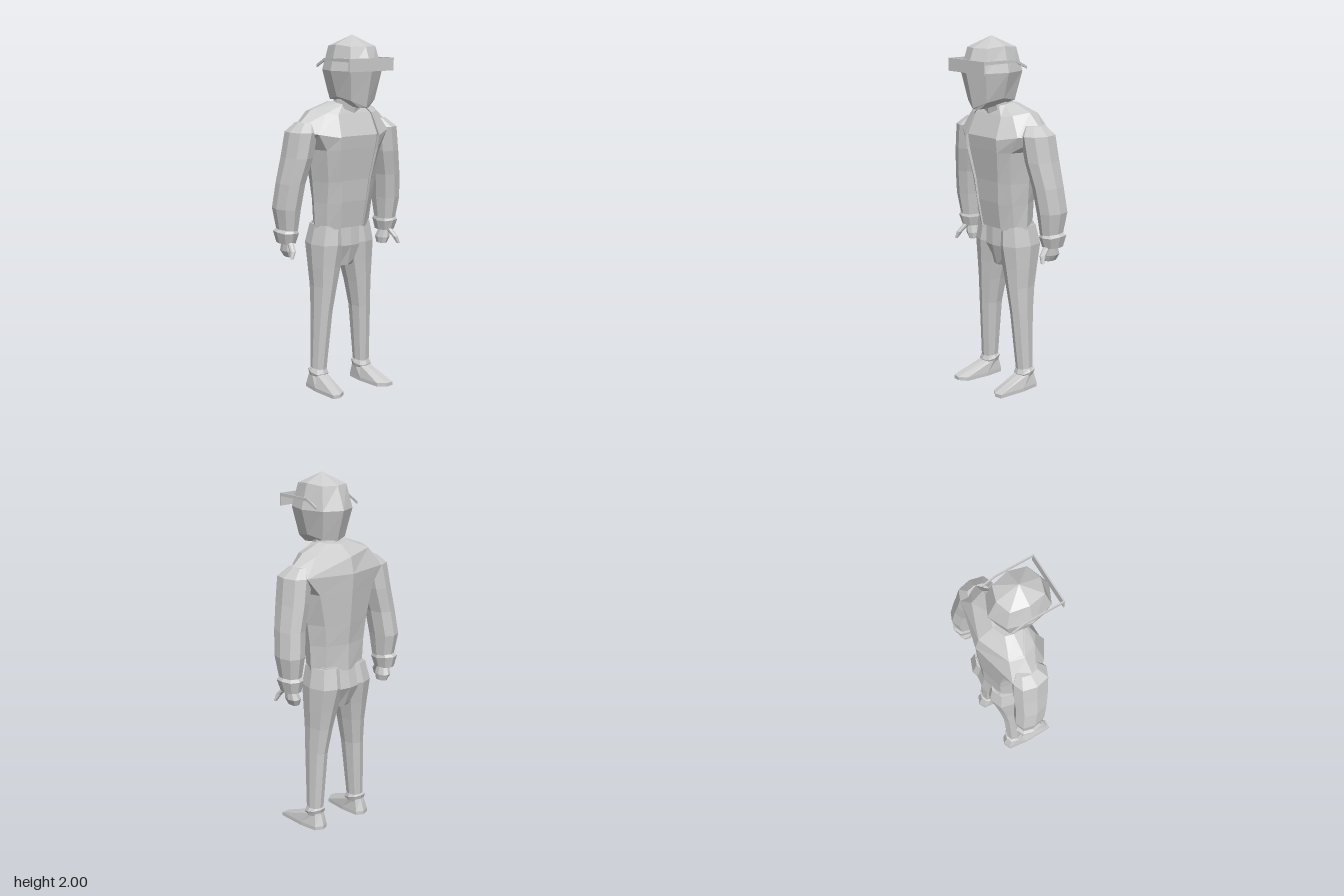
import * as THREE from 'three';

const mat = new THREE.MeshStandardMaterial({ color: 0xcccccc, flatShading: true });
const shellMat = new THREE.MeshStandardMaterial({ color: 0xcccccc, flatShading: true, side: THREE.DoubleSide });

// Octagonal cross-section at height y (number, or one height per corner)
function ring(y, x0, x1, z0, z1, f = 0.76) {
  const cx = (x0 + x1) / 2, cz = (z0 + z1) / 2, rx = (x1 - x0) / 2, rz = (z1 - z0) / 2;
  const dirs = [[1, 0], [f, f], [0, 1], [-f, f], [-1, 0], [-f, -f], [0, -1], [f, -f]];
  return dirs.map(([a, b], k) => [cx + a * rx, Array.isArray(y) ? y[k] : y, cz + b * rz]);
}

// Skin a list of rings, ordered bottom to top
function loft(name, rings, closed = true) {
  const v = [], n = rings[0].length;
  const tri = (a, b, c) => v.push(...a, ...b, ...c);
  for (let i = 0; i + 1 < rings.length; i++) {
    for (let k = 0; k < (closed ? n : n - 1); k++) {
      const j = (k + 1) % n, lo = rings[i], hi = rings[i + 1];
      tri(lo[k], hi[k], lo[j]);
      tri(lo[j], hi[k], hi[j]);
    }
  }
  if (closed) {
    [rings[0], rings[rings.length - 1]].forEach((r, top) => {
      const c = [0, 1, 2].map(a => r.reduce((s, p) => s + p[a], 0) / n);
      r.forEach((p, k) => (top ? tri(c, r[(k + 1) % n], p) : tri(c, p, r[(k + 1) % n])));
    });
  }
  const g = new THREE.BufferGeometry();
  g.setAttribute('position', new THREE.Float32BufferAttribute(v, 3));
  g.computeVertexNormals();
  const m = new THREE.Mesh(g, closed ? mat : shellMat);
  m.name = name;
  return m;
}

const mirror = rings => rings.map(r => r.map(([x, y, z]) => [x, y, -z]).reverse());

function box(name, x0, x1, y0, y1, z0, z1) {
  const m = new THREE.Mesh(new THREE.BoxGeometry(x1 - x0, y1 - y0, z1 - z0), mat);
  m.position.set((x0 + x1) / 2, (y0 + y1) / 2, (z0 + z1) / 2);
  m.name = name;
  return m;
}

export function createModel() {
  const group = new THREE.Group();
  const pair = (name, rings) => {
    group.add(loft('left' + name, mirror(rings)), loft('right' + name, rings));
  };

  // Head, with the chin dropping towards the face
  group.add(loft('head', [
    ring([1.61, 1.61, 1.615, 1.64, 1.64, 1.64, 1.615, 1.61], 0.03, 0.165, -0.04, 0.04),
    ring([1.615, 1.65, 1.67, 1.65, 1.64, 1.65, 1.67, 1.65], -0.09, 0.17, -0.105, 0.105),
    ring(1.81, -0.14, 0.217, -0.145, 0.145, 0.73),
    ring([1.94, 1.94, 1.95, 1.94, 1.94, 1.94, 1.95, 1.94], -0.09, 0.165, -0.108, 0.108, 0.79),
    ring(2.0, 0.038, 0.042, -0.002, 0.002),
  ]));
  group.add(loft('neck', [ring(1.52, -0.11, 0.05, -0.09, 0.09), ring(1.68, -0.06, 0.08, -0.07, 0.07)]));

  // Glasses: flat plate and two temples that bend down behind the ears
  group.add(box('glassesPlate', 0.209, 0.217, 1.81, 1.88, -0.15, 0.15));
  const temple = new THREE.Shape([[0.21, 1.88], [-0.01, 1.878], [-0.085, 1.84], [-0.085, 1.825],
    [-0.01, 1.862], [0.21, 1.862]].map(p => new THREE.Vector2(...p)));
  for (const z of [-0.15, 0.143]) {
    const g = new THREE.ExtrudeGeometry(temple, { depth: 0.007, bevelEnabled: false });
    const m = new THREE.Mesh(g, mat);
    m.position.z = z;
    m.name = 'glassesTemple';
    group.add(m);
  }

  // Torso half sections [x, y, z]: front edge, front side, side, back side, back centre
  const torso = [
    [[0.042, 0.93, 0.08], [0.0, 0.93, 0.145], [-0.07, 0.93, 0.175], [-0.15, 0.93, 0.13], [-0.185, 0.93, 0]],
    [[0.068, 1.08, 0.09], [0.02, 1.08, 0.155], [-0.07, 1.08, 0.182], [-0.155, 1.08, 0.135], [-0.185, 1.08, 0]],
    [[0.08, 1.2, 0.1], [0.04, 1.2, 0.16], [-0.065, 1.2, 0.195], [-0.16, 1.2, 0.15], [-0.198, 1.2, 0]],
    [[0.11, 1.38, 0.127], [0.06, 1.38, 0.185], [-0.06, 1.38, 0.22], [-0.165, 1.38, 0.19], [-0.213, 1.38, 0]],
    [[0.12, 1.45, 0.13], [0.055, 1.47, 0.235], [-0.05, 1.485, 0.335], [-0.155, 1.48, 0.27], [-0.221, 1.48, 0]],
    [[0.07, 1.57, 0.115], [0.035, 1.58, 0.17], [-0.05, 1.595, 0.215], [-0.13, 1.585, 0.19], [-0.2, 1.57, 0]],
    [[0.045, 1.62, 0.07], [0.02, 1.625, 0.09], [-0.04, 1.635, 0.095], [-0.09, 1.63, 0.08], [-0.12, 1.625, 0]],
  ];
  const flip = ([x, y, z]) => [x, y, -z];
  // Open jacket, with its front edges folded in
  group.add(loft('jacket', torso.map(h => {
    const [x, y, z] = h[0];
    const half = [[x - 0.03, y, z], ...h];
    return [...half, ...half.slice(0, -1).reverse().map(flip)];
  }), false));
  // Shirt inside the jacket
  group.add(loft('shirt', torso.map(h => {
    const half = h.map(([x, y, z]) => [-0.05 + (x + 0.05) * 0.92, y + 0.005, z * 0.94]);
    const [x, y] = half[0];
    return [[x, y, 0], ...half, ...half.slice(0, -1).reverse().map(flip)];
  })));

  // Sleeves, cuffs and hands
  pair('Sleeve', [
    ring(0.92, -0.16, -0.035, 0.295, 0.392),
    ring(1.06, -0.185, -0.01, 0.28, 0.415),
    ring(1.2, -0.17, 0.01, 0.262, 0.4),
    ring(1.34, -0.165, 0.035, 0.225, 0.372),
    ring(1.48, -0.155, 0.045, 0.2, 0.35),
    ring(1.53, -0.12, 0.0, 0.2, 0.29),
  ]);
  pair('SleeveCuff', [
    ring(0.865, -0.165, -0.045, 0.302, 0.392),
    ring([0.925, 0.925, 0.93, 0.93, 0.93, 0.93, 0.92, 0.92], -0.18, -0.025, 0.288, 0.41),
    ring(0.945, -0.165, -0.035, 0.295, 0.395),
  ]);
  pair('Hand', [
    ring(0.785, -0.14, -0.07, 0.305, 0.35),
    ring(0.82, -0.155, -0.06, 0.3, 0.37),
    ring(0.88, -0.13, -0.065, 0.32, 0.37),
  ]);
  pair('Thumb', [
    ring(0.79, -0.012, 0.002, 0.365, 0.385),
    ring(0.83, -0.035, -0.003, 0.345, 0.375),
    ring(0.875, -0.085, -0.045, 0.33, 0.365),
  ]);

  // Trousers
  group.add(loft('hips', [
    ring(0.71, -0.15, 0.0, -0.06, 0.06),
    ring(0.83, -0.2, 0.035, -0.18, 0.18, 0.82),
    ring(0.96, -0.175, 0.03, -0.165, 0.165, 0.82),
  ]));
  pair('Leg', [
    ring(0.09, -0.12, -0.03, 0.112, 0.195),
    ring(0.45, -0.135, 0.0, 0.082, 0.187),
    ring(0.6, -0.155, 0.015, 0.055, 0.184),
    ring(0.71, -0.175, 0.025, 0.03, 0.19),
    ring(0.84, -0.203, 0.04, 0.0, 0.195),
    ring(0.95, -0.18, 0.03, 0.0, 0.172),
  ]);
  pair('TrouserCuff', [
    ring(0.075, -0.12, -0.025, 0.108, 0.2),
    ring([0.09, 0.09, 0.1, 0.11, 0.115, 0.11, 0.1, 0.09], -0.132, -0.018, 0.1, 0.208),
    ring(0.12, -0.12, -0.03, 0.11, 0.196),
  ]);

  // Shoes: wedge rising from the toe to the ankle
  const sole = [[0.155, 0.165], [0.15, 0.21], [-0.02, 0.214], [-0.13, 0.2],
    [-0.15, 0.155], [-0.13, 0.115], [-0.02, 0.107], [0.12, 0.12]];
  pair('Shoe', [
    sole.map(([x, z]) => [x, 0, z]),
    sole.map(([x, z]) => [x, 0.02, z]),
    ring(0.09, -0.125, -0.03, 0.11, 0.198),
  ]);
  return group;
}
